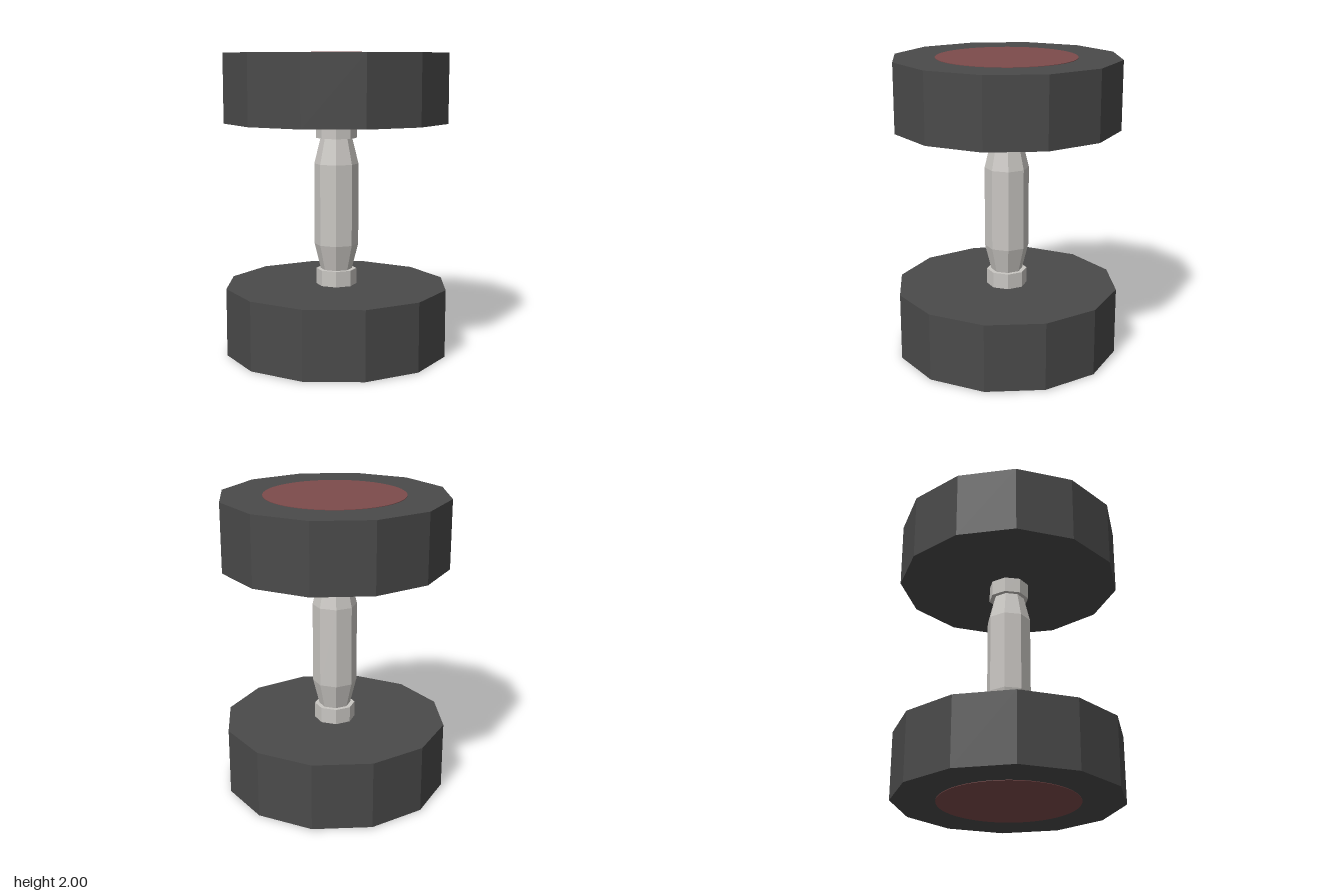
import * as THREE from 'three';

export function createModel() {
  const material = (name, color) => {
    const m = new THREE.MeshStandardMaterial({ color, flatShading: true });
    m.name = name;
    return m;
  };
  const rubber = material('dark rubber', 0x4a4a4a);
  const steel = material('pale steel', 0xc9c6c2);
  const red = material('muted red', 0x7d4b4b);

  const model = new THREE.Group();
  model.name = 'dumbbell';

  // Upright prism or frustum between two heights
  const prism = (parent, name, mat, sides, rBottom, rTop, y0, y1, open = false) => {
    const mesh = new THREE.Mesh(
      new THREE.CylinderGeometry(rTop, rBottom, y1 - y0, sides, 1, open), mat);
    mesh.position.y = (y0 + y1) / 2;
    mesh.name = name;
    parent.add(mesh);
  };

  // Eight-sided grip, swollen in the middle
  prism(model, 'grip', steel, 8, 0.147, 0.147, 0.73, 1.27, true);

  // Both ends are the same, mirrored about the middle of the grip
  for (const end of ['lower', 'upper']) {
    const group = new THREE.Group();
    group.name = end + 'End';
    prism(group, 'gripTaper', steel, 8, 0.147, 0.105, 0.27, 0.44, true);
    prism(group, 'collar', steel, 8, 0.135, 0.135, 0.44, 0.55);
    prism(group, 'weight', rubber, 12, 0.747, 0.747, 0.545, 0.997);
    prism(group, 'endDisc', red, 64, 0.46, 0.46, 0.995, 1);
    group.position.y = 1;
    if (end === 'lower') group.rotation.x = Math.PI;
    model.add(group);
  }
  return model;
}
